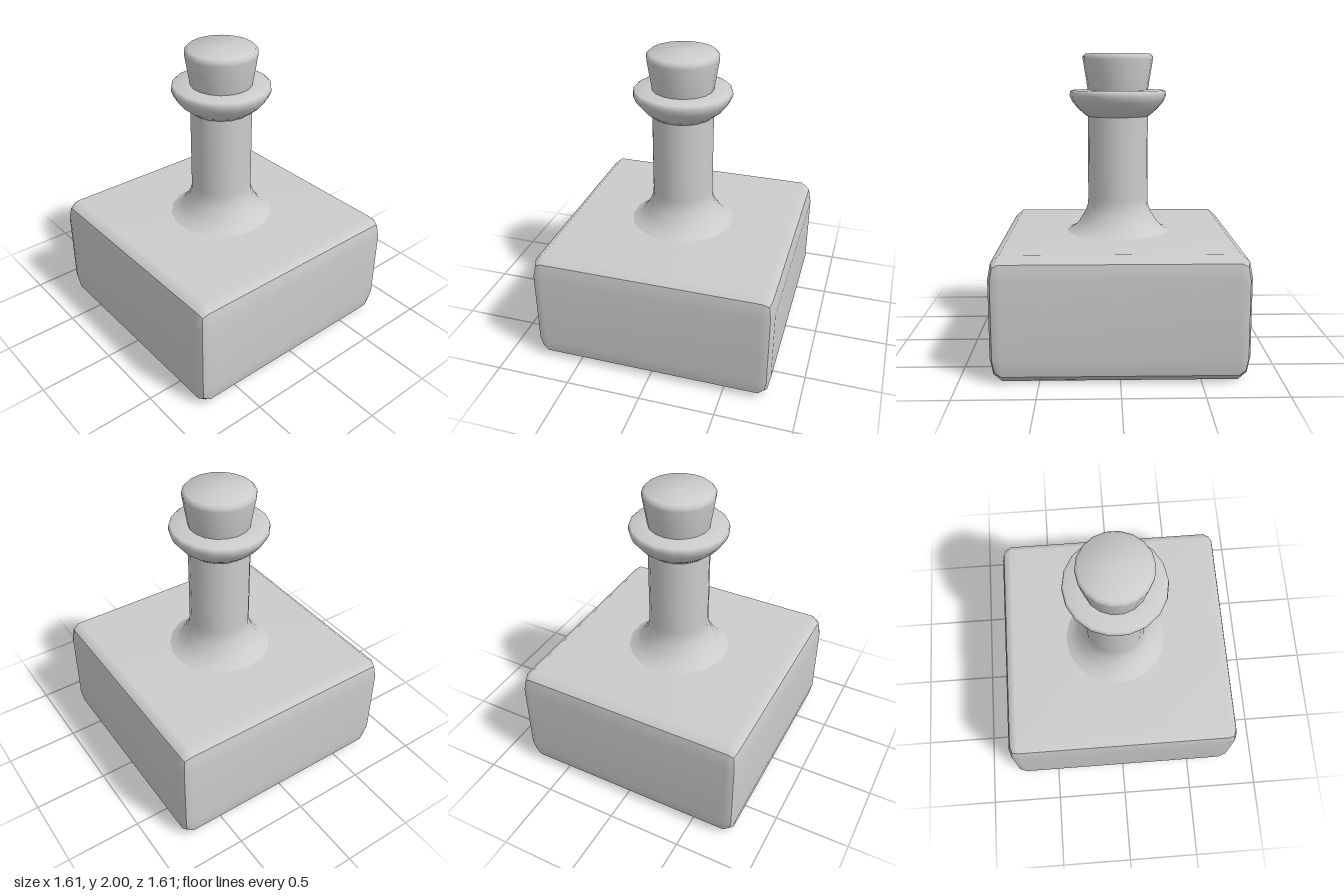
import * as THREE from 'three';
import { toCreasedNormals } from 'three/addons/utils/BufferGeometryUtils.js';

const material = new THREE.MeshStandardMaterial({ color: 0xcccccc });

function addPart(group, name, geometry) {
  const mesh = new THREE.Mesh(geometry, material);
  mesh.name = name;
  group.add(mesh);
}

// 18-sided turned part from [radius, height] pairs, listed bottom to top
function turned(profile, crease) {
  const points = profile.map(([r, y]) => new THREE.Vector2(r, y));
  return toCreasedNormals(new THREE.LatheGeometry(points, 18, Math.PI / 2), crease);
}

// Box whose six panels bulge out, with their edges and corners drawn in
function bulgedBox() {
  const geometry = new THREE.BoxGeometry(3, 3, 3, 3, 3, 3);
  const pos = geometry.attributes.position;
  // Distance from centre: inner grid line, panel face, edge, corner
  const side = { inner: 0.73, outer: [0.805, 0.785, 0.772] };
  const height = { inner: 0.25, outer: [0.4, 0.353, 0.33] };
  for (let i = 0; i < pos.count; i++) {
    const p = [pos.getX(i), pos.getY(i), pos.getZ(i)];
    const extremes = p.filter((v) => Math.abs(v) > 1).length;
    const [x, y, z] = p.map((v, axis) => {
      const size = axis === 1 ? height : side;
      return Math.sign(v) * (Math.abs(v) > 1 ? size.outer[extremes - 1] : size.inner);
    });
    pos.setXYZ(i, x, y + 0.4, z);
  }
  geometry.computeVertexNormals();
  return geometry;
}

export function createModel() {
  const group = new THREE.Group();
  group.name = 'bottle';

  addPart(group, 'body', bulgedBox());

  // Neck flaring into the shoulder
  addPart(group, 'neck', turned([
    [0.36, 0.795], [0.31, 0.82], [0.265, 0.865], [0.225, 0.93],
    [0.206, 0.985], [0.204, 1.03], [0.204, 1.6],
  ], 0.8));

  // Lip around the mouth
  addPart(group, 'lip', turned([
    [0.19, 1.585], [0.21, 1.585], [0.265, 1.63], [0.31, 1.685],
    [0.326, 1.725], [0.322, 1.75], [0.312, 1.758], [0.18, 1.758],
  ], 1.0));

  // Tapered stopper
  addPart(group, 'stopper', turned([
    [0, 1.7], [0.19, 1.7], [0.203, 1.76], [0.235, 1.96],
    [0.235, 1.982], [0.218, 2.0], [0, 2.0],
  ], 1.2));

  return group;
}
